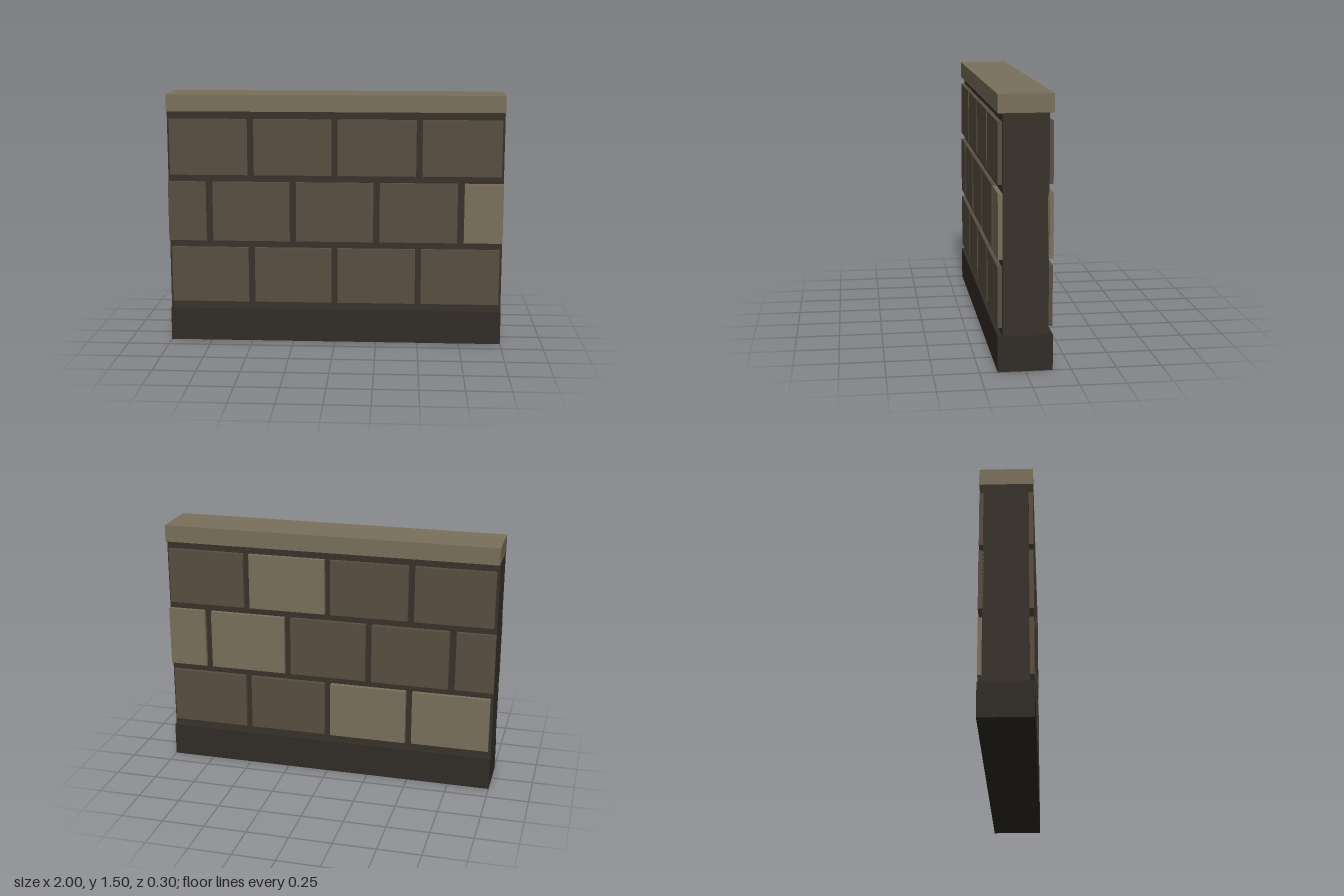
import * as THREE from 'three';

const COLORS = { cap: 0x7a705b, light: 0x7a705b, dark: 0x584f41, core: 0x38332b, plinth: 0x312c26 };

export function createModel() {
  const wall = new THREE.Group();
  wall.name = 'brickWall';

  const materials = {};
  for (const key in COLORS) materials[key] = new THREE.MeshStandardMaterial({ color: COLORS[key] });

  // Box given by its lower and upper limits on each axis
  function block(name, material, [x0, x1], [y0, y1], [z0, z1], parent = wall) {
    const mesh = new THREE.Mesh(new THREE.BoxGeometry(x1 - x0, y1 - y0, z1 - z0), materials[material]);
    mesh.position.set((x0 + x1) / 2, (y0 + y1) / 2, (z0 + z1) / 2);
    mesh.name = name;
    parent.add(mesh);
  }

  // Solid body: plinth, mortar core and coping
  block('plinth', 'plinth', [-1, 1], [0, 0.2], [-0.148, 0.152]);
  block('mortarCore', 'core', [-1, 1], [0.2, 1.4], [-0.123, 0.127]);
  block('coping', 'cap', [-1, 1], [1.4, 1.5], [-0.148, 0.152]);

  // Courses in running bond, listed from the bottom up
  const full = [[-0.985, -0.52], [-0.482, -0.018], [0.018, 0.482], [0.518, 0.985]];
  const offset = [[-1, -0.772], [-0.732, -0.27], [-0.232, 0.23], [0.268, 0.73], [0.77, 1]];
  const courses = [
    { y: [0.244, 0.578], bricks: full, lightFront: [], lightBack: [0, 1], proud: 1 },
    { y: [0.621, 0.978], bricks: offset, lightFront: [4], lightBack: [3, 4], proud: 1 },
    { y: [1.021, 1.355], bricks: full, lightFront: [], lightBack: [2], proud: -1 },
  ];

  const front = new THREE.Group();
  front.name = 'frontBricks';
  const back = new THREE.Group();
  back.name = 'backBricks';
  wall.add(front, back);

  courses.forEach(({ y, bricks, lightFront, lightBack, proud }) => {
    bricks.forEach((x, i) => {
      block('frontBrick', lightFront.includes(i) ? 'light' : 'dark', x, y, [0.12, 0.151], front);
      // A couple of rear bricks stand slightly proud
      const outer = i === proud ? -0.152 : -0.147;
      block('backBrick', lightBack.includes(i) ? 'light' : 'dark', x, y, [outer, -0.116], back);
    });
  });

  return wall;
}
